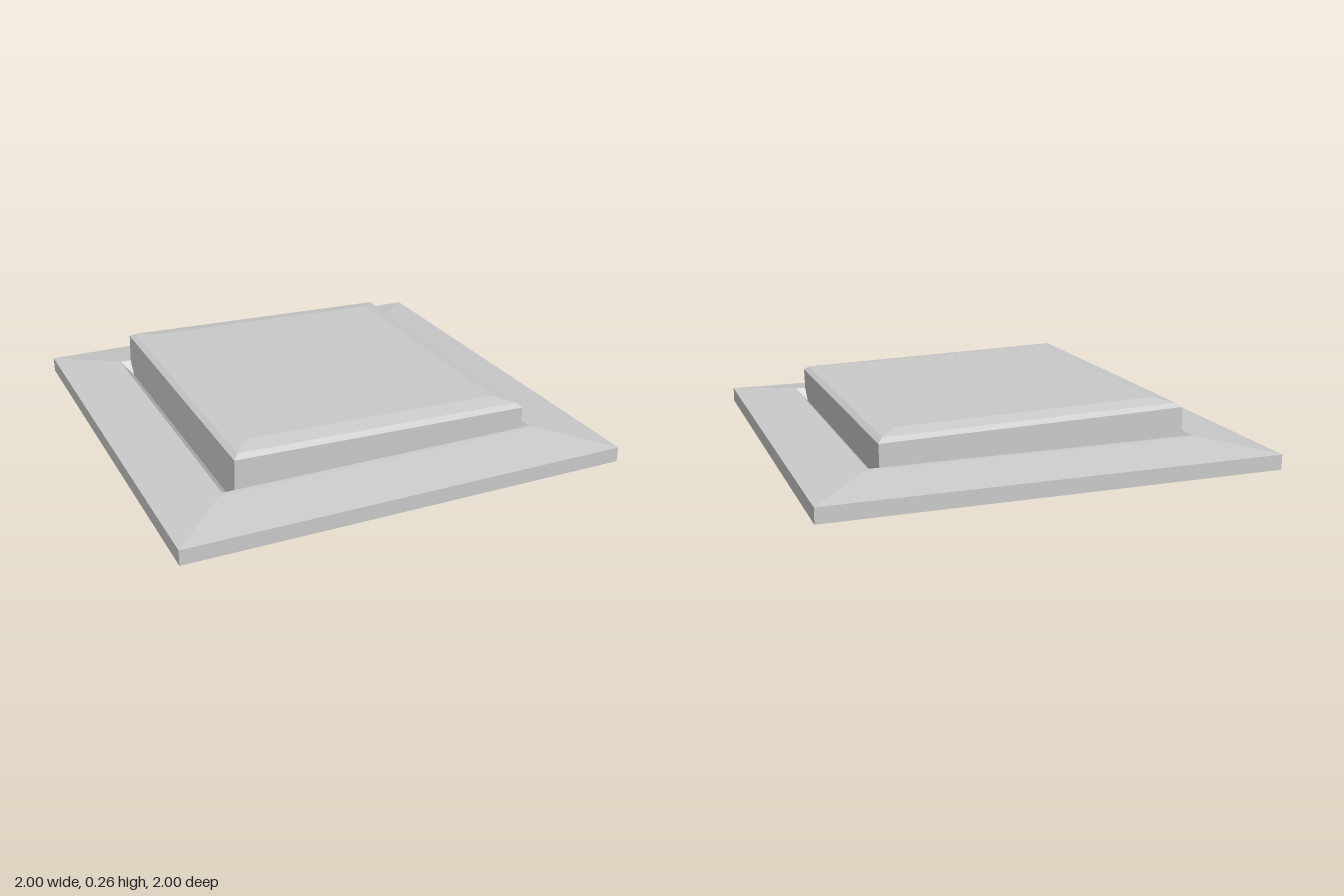
import * as THREE from 'three';

const material = new THREE.MeshStandardMaterial({ color: 0xcccccc, flatShading: true });
const CORNERS = [[1, 1], [1, -1], [-1, -1], [-1, 1]];

// Closed solid through rectangular rings [halfX, halfZ, y], listed from the bottom up the outside.
function rectLoft(name, rings) {
  const loops = rings.map(([hx, hz, y]) => CORNERS.map(([sx, sz]) => [sx * hx, y, sz * hz]));
  const pos = [];
  const quad = (a, b, c, d) => [a, b, c, a, c, d].forEach((p) => pos.push(...p));
  const first = loops[0];
  quad(first[3], first[2], first[1], first[0]);
  for (let r = 0; r < loops.length - 1; r++) {
    for (let i = 0; i < 4; i++) {
      const j = (i + 1) % 4;
      quad(loops[r][i], loops[r][j], loops[r + 1][j], loops[r + 1][i]);
    }
  }
  quad(...loops[loops.length - 1]);
  const geometry = new THREE.BufferGeometry();
  geometry.setAttribute('position', new THREE.Float32BufferAttribute(pos, 3));
  geometry.computeVertexNormals();
  const mesh = new THREE.Mesh(geometry, material);
  mesh.name = name;
  return mesh;
}

export function createModel() {
  const group = new THREE.Group();
  group.name = 'rockerSwitch';

  // Square wall plate with a sloped face and a tapering well in the middle
  group.add(rectLoft('wallPlate', [
    [1, 1, 0],
    [1, 1, 0.067],
    [0.745, 0.745, 0.104],
    [0.725, 0.725, 0.105],
    [0.66, 0.66, 0.03],
  ]));

  // Rocker button with a double bevel, tipped down towards +x
  const rocker = rectLoft('rocker', [
    [0.675, 0.724, 0.025],
    [0.675, 0.724, 0.219],
    [0.653, 0.7, 0.236],
    [0.58, 0.62, 0.25],
  ]);
  rocker.rotation.z = -0.0245;
  group.add(rocker);

  return group;
}
